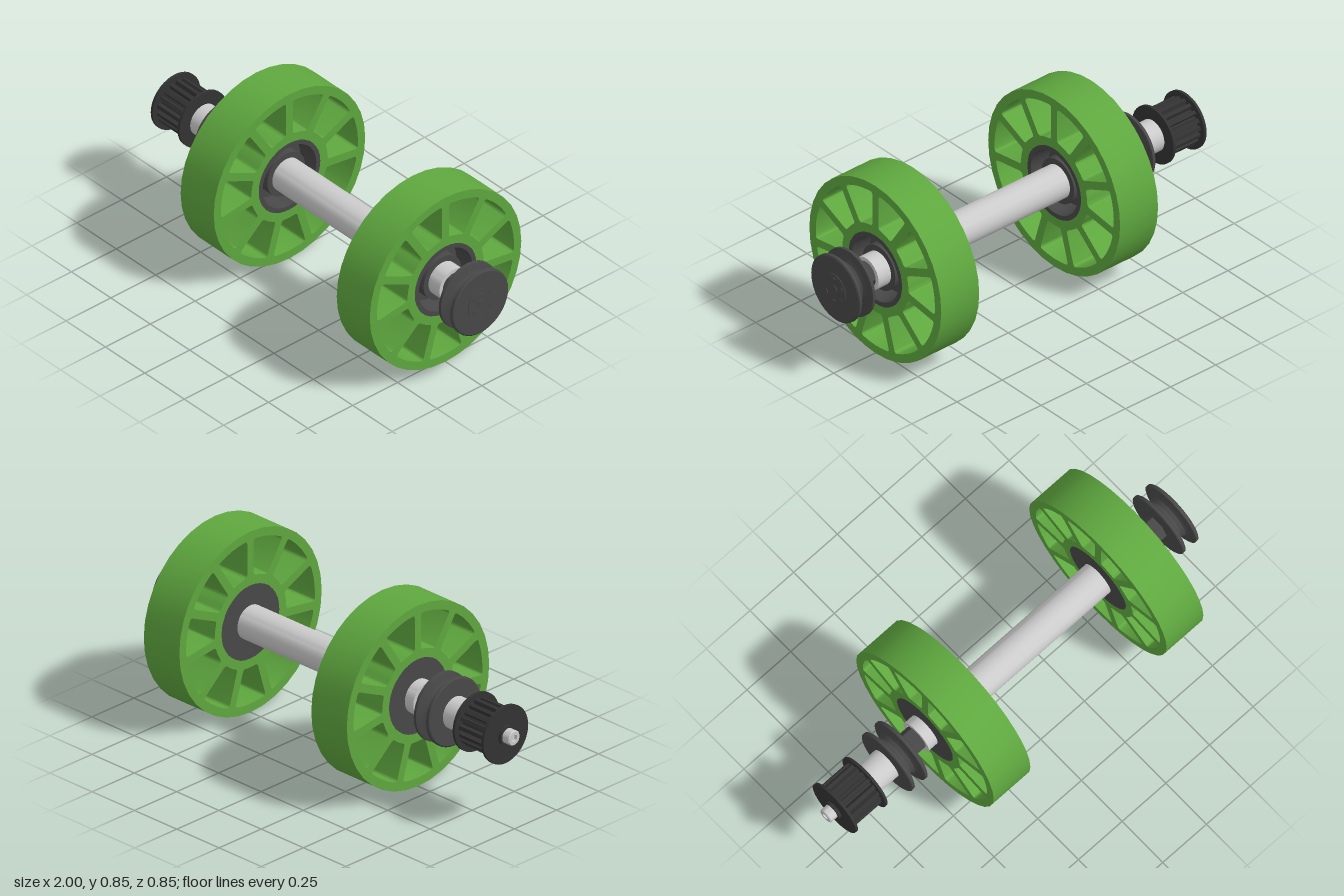
import * as THREE from 'three';
import { toCreasedNormals } from 'three/addons/utils/BufferGeometryUtils.js';

const AXLE_Y = 0.4225;
const green = new THREE.MeshStandardMaterial({ color: 0x5fa83f });
const grey = new THREE.MeshStandardMaterial({ color: 0xcccccc });
const dark = new THREE.MeshStandardMaterial({ color: 0x484848 });
const black = new THREE.MeshStandardMaterial({ color: 0x333333 });

const polar = (r, a) => new THREE.Vector2(r * Math.cos(a), r * Math.sin(a));

function part(name, geometry, material, x = 0) {
  const mesh = new THREE.Mesh(toCreasedNormals(geometry, 0.55), material);
  mesh.name = name;
  mesh.position.x = x;
  return mesh;
}

// Turned solid along x; profile is [radius, x], counterclockwise
function turned(profile, sides = 36) {
  const pts = profile.map(([r, x]) => new THREE.Vector2(r, x));
  return new THREE.LatheGeometry(pts, sides).rotateZ(-Math.PI / 2);
}

const rod = (r, x0, x1, sides = 36) => turned([[0, x0], [r, x0], [r, x1], [0, x1]], sides);

// Sleeve with a bore
const sleeve = (ri, ro, x0, x1) => turned([[ri, x0], [ro, x0], [ro, x1], [ri, x1], [ri, x0]]);

// Extrude a shape along +x, starting at x = 0
function extrudeX(shape, depth) {
  return new THREE.ExtrudeGeometry(shape, { depth, bevelEnabled: false, curveSegments: 4 })
    .rotateY(Math.PI / 2);
}

function ringPoints(r, n) {
  return Array.from({ length: n }, (_, i) => polar(r, Math.PI / 2 + (i / n) * Math.PI * 2));
}

// Window between two parallel-sided spokes, with rounded corners
function spokeWindow(a0, a1, rIn, rOut, half, fillet) {
  const p = new THREE.Path();
  const edge = (r, side) => side < 0 ? polar(r, a0 + Math.asin(half / r)) : polar(r, a1 - Math.asin(half / r));
  const along = (r, t) => {
    const s = a0 + Math.asin(half / r), e = a1 - Math.asin(half / r), f = fillet / r;
    return polar(r, s + f + (e - s - 2 * f) * t);
  };
  const line = v => p.lineTo(v.x, v.y);
  const round = (c, v) => p.quadraticCurveTo(c.x, c.y, v.x, v.y);
  const start = edge(rIn + fillet, -1);
  p.moveTo(start.x, start.y);
  line(edge(rOut - fillet, -1));
  round(edge(rOut, -1), along(rOut, 0));
  for (let i = 1; i <= 4; i++) line(along(rOut, i / 4));
  round(edge(rOut, 1), edge(rOut - fillet, 1));
  line(edge(rIn + fillet, 1));
  round(edge(rIn, 1), along(rIn, 1));
  for (let i = 3; i >= 0; i--) line(along(rIn, i / 4));
  round(edge(rIn, -1), start);
  return p;
}

// Spoked wheel with a cupped dark hub
function wheel(name, x) {
  const g = new THREE.Group();
  g.name = name;
  g.position.x = x;
  const width = 0.21, spokes = 11, step = (Math.PI * 2) / spokes;
  const shape = new THREE.Shape(ringPoints(0.4225, 36));
  shape.holes.push(new THREE.Path(ringPoints(0.171, 36)));
  for (let i = 0; i < spokes; i++) {
    const a = Math.PI / 2 + i * step;
    shape.holes.push(spokeWindow(a, a + step, 0.212, 0.382, 0.019, 0.014));
  }
  g.add(part('spokedRim', extrudeX(shape, width), green));
  g.add(part('hub', turned([
    [0.07, 0], [0.172, 0], [0.172, width], [0.15, width], [0.14, 0.12],
    [0.105, 0.12], [0.105, 0.19], [0.07, 0.19],
  ]), dark));
  return g;
}

// Grooved pulley, with a slotted cap on its +x face
function groovedPulley(name, x) {
  const g = new THREE.Group();
  g.name = name;
  g.position.x = x;
  g.add(part('sheave', turned([
    [0, -0.047], [0.15, -0.047], [0.156, -0.043], [0.156, -0.03], [0.15, -0.027], [0.128, -0.027],
    [0.107, -0.016], [0.098, 0], [0.107, 0.016], [0.128, 0.027],
    [0.15, 0.027], [0.156, 0.03], [0.156, 0.043], [0.15, 0.047], [0, 0.047],
  ], 40), dark));
  const cap = new THREE.Shape(ringPoints(0.073, 36));
  for (let i = 0; i < 6; i++) {
    const a = Math.PI / 2 + (i * Math.PI) / 3;
    cap.holes.push(new THREE.Path([polar(0.049, a), polar(0.058, a + 0.27), polar(0.058, a - 0.27)]));
  }
  g.add(part('slottedCap', extrudeX(cap, 0.003), dark, 0.047));
  return g;
}

// Toothed belt pulley with end flanges
function toothedPulley() {
  const g = new THREE.Group();
  g.name = 'toothedPulley';
  const teeth = 18, step = (Math.PI * 2) / teeth, outline = [];
  for (let i = 0; i < teeth; i++) {
    const a = i * step;
    outline.push(polar(0.09, a), polar(0.11, a + step * 0.12), polar(0.11, a + step * 0.55), polar(0.09, a + step * 0.67));
  }
  g.add(part('teeth', extrudeX(new THREE.Shape(outline), 0.16), black, -0.94));
  for (const x of [-0.949, -0.779]) {
    g.add(part('flange', rod(0.133, 0, 0.012, 40), black, x));
  }
  g.add(part('collar', rod(0.045, -0.962, -0.945), black));
  return g;
}

export function createModel() {
  const model = new THREE.Group();
  model.name = 'wheelAxle';
  const axle = new THREE.Group();
  axle.name = 'axleAssembly';
  axle.position.y = AXLE_Y;
  model.add(axle);

  // Shafts and sleeves
  axle.add(part('mainTube', sleeve(0.06, 0.078, -0.48, 0.82), grey));
  axle.add(part('outerSleeve', sleeve(0.06, 0.073, -0.775, -0.64), grey));
  axle.add(part('hexShaft', rod(0.058, -0.78, 0.91, 6), dark));
  axle.add(part('shaftEnd', turned([[0, -0.985], [0.016, -0.985], [0.016, -1], [0.03, -1], [0.034, -0.996], [0.034, -0.94], [0, -0.94]]), grey));
  axle.add(part('shaftTip', rod(0.018, 0.99, 1), dark));

  // Wheels
  axle.add(wheel('leftWheel', 0.56));
  axle.add(wheel('rightWheel', -0.43));

  // Pulleys
  axle.add(groovedPulley('leftGroovedPulley', 0.947));
  axle.add(groovedPulley('rightGroovedPulley', -0.603));
  axle.add(toothedPulley());
  return model;
}
